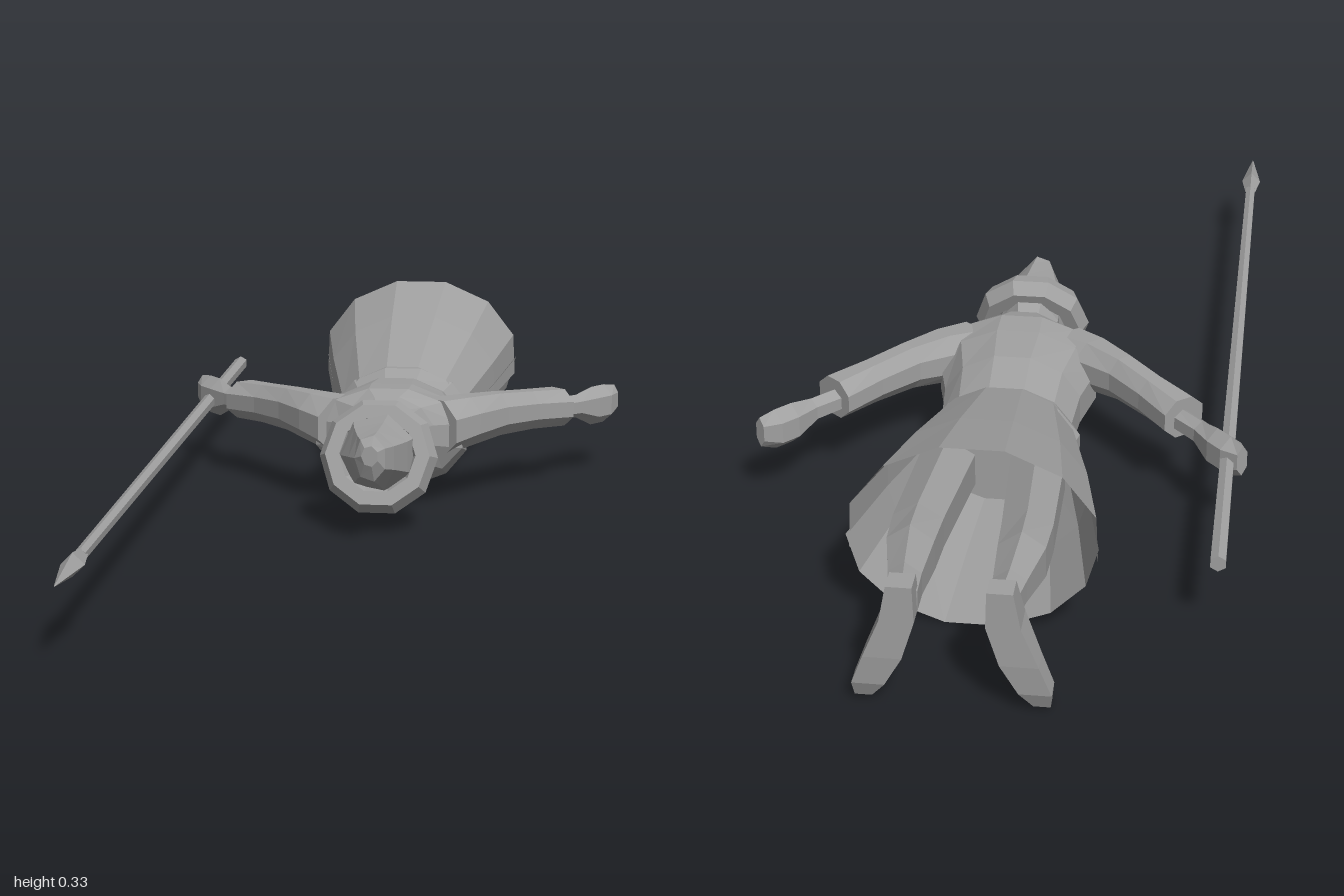
import * as THREE from 'three';

const stone = new THREE.MeshStandardMaterial({ color: 0xa0a0a0, flatShading: true, side: THREE.DoubleSide });
stone.name = 'plain grey';
const X = new THREE.Vector3(1, 0, 0), Y = new THREE.Vector3(0, 1, 0), Z = new THREE.Vector3(0, 0, 1);

// Skin over elliptical sections [x, y, z, ru, rv] lying in the u-v plane;
// a partial arc leaves an open panel, a full turn is capped unless told otherwise.
function loft(name, rings, { sides = 8, u = X, v = Y, from = Math.PI / sides, arc = Math.PI * 2, caps = true } = {}) {
  const pos = [], index = [], row = sides + 1, full = arc > 6.2;
  for (const [x, y, z, ru, rv] of rings) {
    for (let j = 0; j <= sides; j++) {
      const a = from + arc * j / sides;
      const p = new THREE.Vector3(x, y, z).addScaledVector(u, ru * Math.cos(a)).addScaledVector(v, rv * Math.sin(a));
      pos.push(p.x, p.y, p.z);
    }
  }
  const a = rings[0], b = rings[rings.length - 1];
  const along = new THREE.Vector3(b[0] - a[0], b[1] - a[1], b[2] - a[2]);
  const flip = along.dot(u.clone().cross(v)) < 0;
  const tri = (p, q, r) => flip ? index.push(p, r, q) : index.push(p, q, r);
  for (let i = 0; i < rings.length - 1; i++) {
    for (let j = 0; j < sides; j++) {
      const p = i * row + j, q = p + row;
      tri(p, p + 1, q + 1);
      tri(p, q + 1, q);
    }
  }
  if (full && caps) {
    const last = (rings.length - 1) * row;
    for (let j = 1; j < sides - 1; j++) {
      tri(0, j + 1, j);
      tri(last, last + j, last + j + 1);
    }
  }
  const g = new THREE.BufferGeometry();
  g.setAttribute('position', new THREE.Float32BufferAttribute(pos, 3));
  g.setIndex(index);
  g.computeVertexNormals();
  const m = new THREE.Mesh(g, stone);
  m.name = name;
  return m;
}

export function createModel() {
  const model = new THREE.Group();
  model.name = 'robedSpearman';

  // Torso with belted tunic hem
  model.add(loft('torso', [
    [0, 0.118, -0.37, 0.135, 0.108],
    [0, 0.12, -0.33, 0.145, 0.108],
    [0, 0.122, -0.285, 0.125, 0.092],
    [0, 0.128, -0.2, 0.132, 0.107],
    [0, 0.135, -0.11, 0.155, 0.108],
    [0, 0.15, -0.05, 0.15, 0.095],
    [0, 0.158, -0.015, 0.095, 0.078],
    [0, 0.155, 0.005, 0.05, 0.055],
  ], { sides: 12 }));

  // Long skirt in two panels, split at the sides
  const panel = { sides: 7 };
  model.add(loft('skirtBack', [
    [0, 0.172, -0.735, 0.216, 0.172],
    [0, 0.155, -0.55, 0.182, 0.142],
    [0, 0.128, -0.32, 0.13, 0.105],
  ], { ...panel, from: -0.22, arc: Math.PI + 0.44 }));
  model.add(loft('skirtFront', [
    [0, 0.17, -0.75, 0.213, 0.168],
    [0, 0.15, -0.55, 0.177, 0.137],
    [0, 0.125, -0.32, 0.126, 0.1],
  ], { ...panel, from: Math.PI, arc: Math.PI }));

  // Neck and head
  model.add(loft('neck', [[0, 0.16, -0.02, 0.05, 0.055], [0, 0.155, 0.05, 0.042, 0.045]]));
  model.add(loft('head', [
    [0, 0.105, 0.01, 0.025, 0.03],
    [0, 0.125, 0.03, 0.05, 0.07],
    [0, 0.14, 0.08, 0.06, 0.08],
    [0, 0.15, 0.14, 0.06, 0.075],
  ]));

  // Rolled, tilted hat brim and crown
  const brim = new THREE.Mesh(new THREE.TorusGeometry(0.086, 0.027, 6, 10), stone);
  brim.name = 'hatBrim';
  brim.position.set(0, 0.148, 0.125);
  brim.rotation.x = -0.35;
  brim.scale.z = 1.2;
  model.add(brim);
  model.add(loft('hatCrown', [
    [0, 0.15, 0.1, 0.085, 0.085],
    [0, 0.16, 0.17, 0.066, 0.068],
    [0, 0.172, 0.23, 0.045, 0.052],
    [0, 0.178, 0.262, 0.03, 0.045],
    [0, 0.185, 0.275, 0.016, 0.02],
  ], { sides: 7 }));

  // Mirrored limbs
  for (const s of [1, -1]) {
    const side = s > 0 ? 'left' : 'right';
    const mirror = rings => rings.map(([x, ...rest]) => [s * x, ...rest]);
    const across = new THREE.Vector3(0.77 * s, 0, 0.64);
    model.add(loft(side + 'Sleeve', mirror([
      [0.09, 0.165, -0.06, 0.065, 0.06],
      [0.145, 0.172, -0.095, 0.05, 0.053],
      [0.205, 0.175, -0.15, 0.037, 0.046],
      [0.265, 0.171, -0.212, 0.037, 0.042],
      [0.325, 0.165, -0.272, 0.046, 0.041],
    ]), { u: across }));
    model.add(loft(side + 'Hand', mirror([
      [0.305, 0.16, -0.255, 0.022, 0.022],
      [0.36, 0.157, -0.312, 0.02, 0.024],
      [0.39, 0.15, -0.35, 0.027, 0.04],
      [0.415, 0.15, -0.378, 0.027, 0.04],
      [0.437, 0.155, -0.402, 0.013, 0.03],
    ]), { u: across, sides: 6 }));
    model.add(loft(side + 'Leg', mirror([
      [0.08, 0.19, -0.965, 0.028, 0.035],
      [0.085, 0.186, -0.91, 0.032, 0.04],
      [0.092, 0.178, -0.81, 0.046, 0.056],
      [0.092, 0.174, -0.73, 0.05, 0.054],
      [0.08, 0.15, -0.48, 0.056, 0.06],
    ]), { sides: 6 }));
    model.add(loft(side + 'Foot', mirror([
      [0.08, 0.235, -0.978, 0.03, 0.03],
      [0.085, 0.17, -0.97, 0.04, 0.042],
      [0.11, 0.1, -0.977, 0.045, 0.032],
      [0.135, 0.045, -0.975, 0.038, 0.028],
      [0.145, 0.015, -0.97, 0.02, 0.018],
    ]), { u: X, v: Z, sides: 4 }));
  }

  // Spear held in the right hand
  const sx = -0.41, sy = 0.145;
  model.add(loft('spearShaft', [[sx, sy, -0.73, 0.015, 0.015], [sx, sy, 0.83, 0.011, 0.011]], { sides: 6 }));
  model.add(loft('spearHead', [
    [sx, sy, 0.82, 0.011, 0.011],
    [sx, sy, 0.88, 0.02, 0.02],
    [sx, sy, 1, 0.001, 0.001],
  ], { sides: 4, from: 0 }));

  return model;
}
